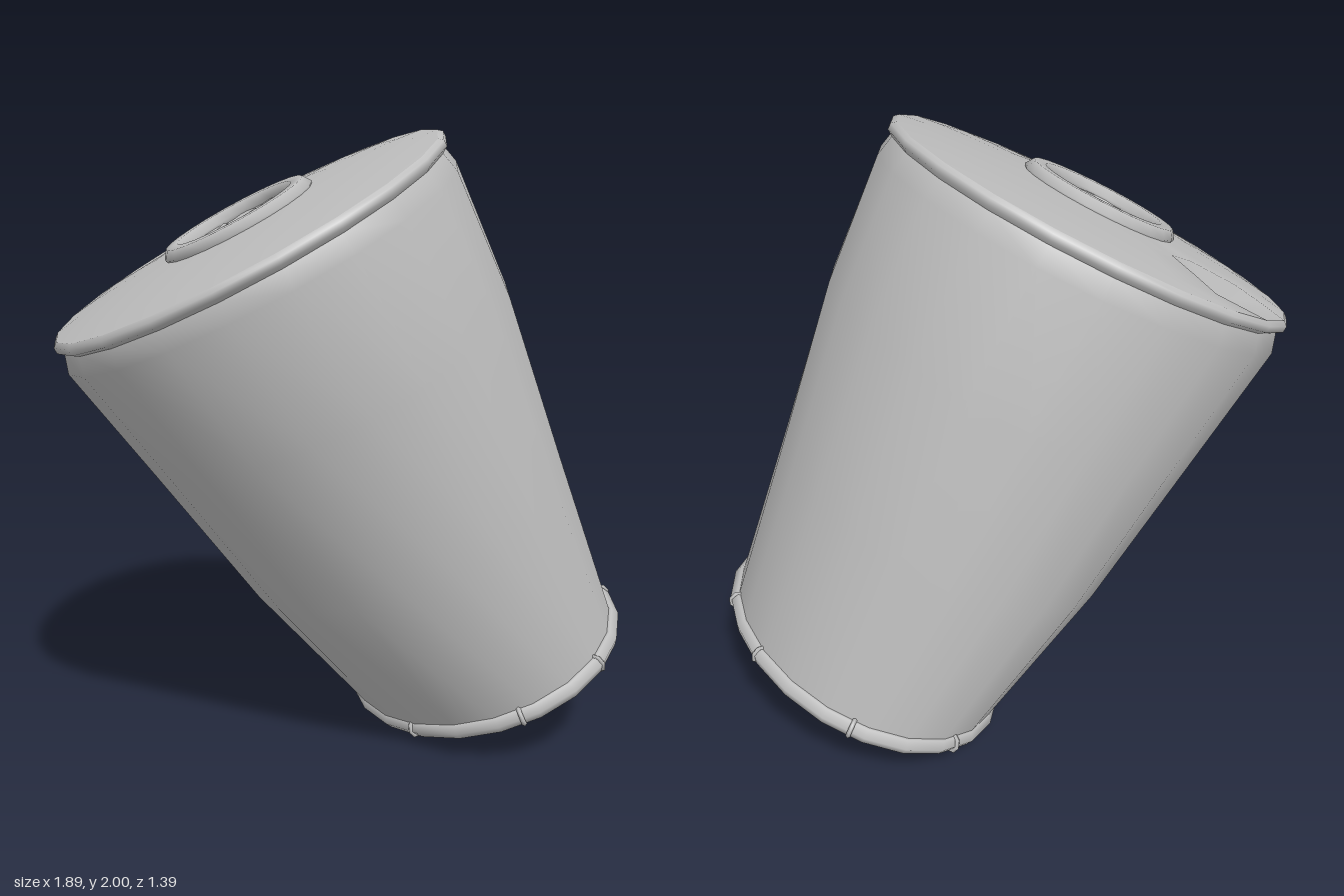
import * as THREE from 'three';

const SEG = 22;

// Skin a stack of elliptical rings {x, y, tilt, a, b}; move() may adjust single points.
function loft(rings, closed = false, move = null) {
  const pos = [], idx = [];
  rings.forEach((r, i) => {
    const t = THREE.MathUtils.degToRad(r.tilt || 0);
    for (let j = 0; j < SEG; j++) {
      const th = (j / SEG) * Math.PI * 2, u = r.a * Math.cos(th);
      const p = new THREE.Vector3(
        (r.x || 0) + u * Math.cos(t), r.y + u * Math.sin(t), r.b * Math.sin(th));
      if (move) move(p, i, j);
      pos.push(p.x, p.y, p.z);
    }
  });
  const n = rings.length;
  for (let i = 0; i < (closed ? n : n - 1); i++) {
    for (let j = 0; j < SEG; j++) {
      const k = (j + 1) % SEG, m = (i + 1) % n;
      const A = i * SEG + j, B = m * SEG + j, C = m * SEG + k, D = i * SEG + k;
      idx.push(A, B, C, A, C, D);
    }
  }
  const g = new THREE.BufferGeometry();
  g.setAttribute('position', new THREE.Float32BufferAttribute(pos, 3));
  g.setIndex(idx);
  g.computeVertexNormals();
  return g;
}

// Round rings from [radius, height] pairs
const round = (pts) => pts.map(([r, y]) => ({ y, a: r, b: r }));

// Rings of a closed tube following an ellipse
function tubeRings(a, b, w, h, y, sides) {
  return Array.from({ length: sides }, (_, i) => {
    const f = (i / sides) * Math.PI * 2, d = w * Math.cos(f);
    return { y: y + h * Math.sin(f), a: a + d, b: b + d };
  });
}

export function createModel() {
  const model = new THREE.Group();
  model.name = 'tiltedBin';
  const grey = new THREE.MeshStandardMaterial({ color: 0xbfbfbf });
  grey.name = 'grey';

  const add = (parent, name, geometry) => {
    const m = new THREE.Mesh(geometry, grey);
    m.name = name;
    parent.add(m);
    return m;
  };
  const frame = (name, x, y, tilt) => {
    const g = new THREE.Group();
    g.name = name;
    g.position.set(x, y, 0);
    g.rotation.z = THREE.MathUtils.degToRad(tilt);
    model.add(g);
    return g;
  };

  // Tapered, slightly bulging body: oval at the foot, round at the top
  add(model, 'body', loft([
    { x: 0.485, y: 0.235, tilt: 24.4, a: 0.462, b: 0.575 },
    { x: 0.193, y: 0.717, tilt: 27, a: 0.567, b: 0.642 },
    { x: -0.074, y: 1.209, tilt: 28.5, a: 0.653, b: 0.682 },
    { x: -0.295, y: 1.57, tilt: 28.5, a: 0.70, b: 0.70 },
    { x: -0.325, y: 1.63, tilt: 28.9, a: 0.68, b: 0.68 },
  ]));

  // Foot: rolled rim, crimps around it and a shallow dished underside
  const foot = frame('foot', 0.5, 0.215, 24.4);
  const fa = 0.45, fb = 0.57;
  add(foot, 'footRim', loft(tubeRings(fa, fb, 0.03, 0.03, 0, 6), true));
  add(foot, 'underside', loft([
    { y: 0.05, a: 0.001, b: 0.001 },
    { y: 0.025, a: fa - 0.01, b: fb - 0.01 },
  ]));
  [15, 65, 105, 150, 210, 255, 300, 345].forEach((deg) => {
    const t = THREE.MathUtils.degToRad(deg);
    const c = add(foot, 'crimp', new THREE.TorusGeometry(0.028, 0.008, 5, 8));
    c.position.set(fa * Math.cos(t), 0, fb * Math.sin(t));
    c.lookAt(0, 0, 0);
    c.rotation.set(0, Math.atan2(-fa * Math.sin(t), fb * Math.cos(t)), 0);
  });

  // Lid: thin rim, gently coned plate with one crease, ring and rough pit
  const lid = frame('lid', -0.335, 1.65, 28.9);
  add(lid, 'lidRim', loft(round([[0.675, -0.03], [0.7, -0.012], [0.7, 0.008], [0.685, 0.02]])));
  const crease = 15;
  add(lid, 'lidPlate', loft(
    round([[0.685, 0.02], [0.6, 0.032], [0.5, 0.042], [0.38, 0.052], [0.22, 0.06]]),
    false,
    (p, i, j) => { if (j === crease && i > 0 && i < 3) p.y -= 0.045; },
  ));
  add(lid, 'capRing', loft(tubeRings(0.225, 0.225, 0.04, 0.032, 0.064, 6), true));

  // Crumpled floor inside the ring
  let seed = 7;
  const rand = () => (seed = (seed * 16807) % 2147483647) / 2147483647 - 0.5;
  add(lid, 'roughPit', loft(
    round([[0.2, 0.07], [0.185, 0.035], [0.14, 0.04], [0.08, 0.035], [0.04, 0.045], [0.001, 0.045]]),
    false,
    (p, i) => { if (i > 0 && i < 5) p.y += rand() * 0.05; },
  ));

  return model;
}
